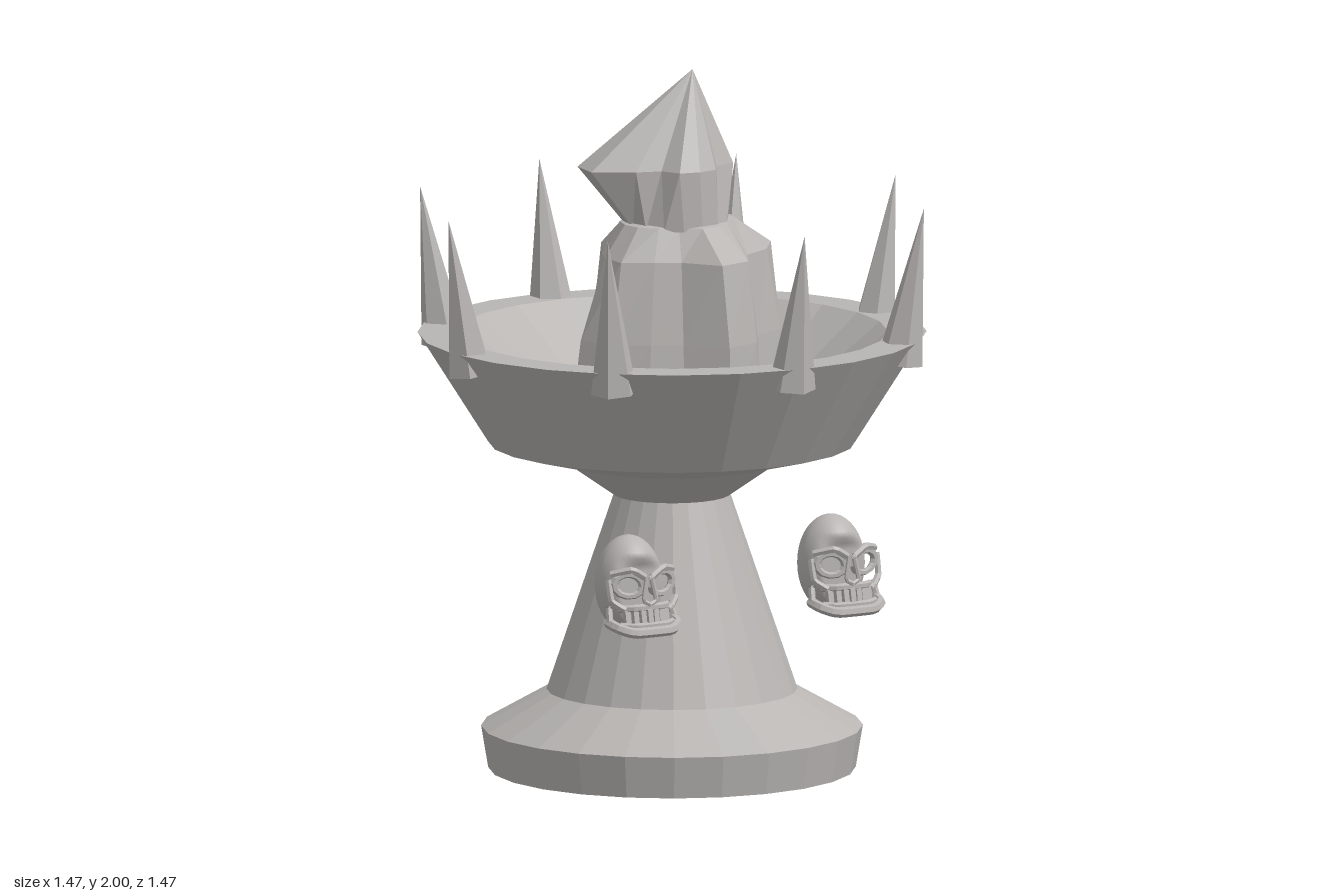
import * as THREE from 'three';

const stone = new THREE.MeshStandardMaterial({ color: 0xb8b5b3, side: THREE.DoubleSide });
stone.name = 'grey stone';

function part(name, geometry, parent, faceted = true) {
  const g = faceted && geometry.index ? geometry.toNonIndexed() : geometry;
  if (faceted) g.computeVertexNormals();
  const mesh = new THREE.Mesh(g, stone);
  mesh.name = name;
  parent.add(mesh);
  return mesh;
}

function lathe(name, profile, parent) {
  return part(name, new THREE.LatheGeometry(profile.map(p => new THREE.Vector2(...p)), 24), parent);
}

// Faceted skin through rings of 16 radii; each section is { y, x, z, r }
function loft(sections) {
  const n = 16, pos = [], index = [];
  sections.forEach(({ y, x = 0, z = 0, r }) => {
    for (let i = 0; i < n; i++) {
      const a = i / n * Math.PI * 2, rad = Array.isArray(r) ? r[i] : r;
      pos.push(x + rad * Math.cos(a), y, z + rad * Math.sin(a));
    }
  });
  for (let s = 0; s < sections.length - 1; s++) {
    for (let i = 0; i < n; i++) {
      const a = s * n + i, b = s * n + (i + 1) % n;
      index.push(b, a, a + n, b, a + n, b + n);
    }
  }
  const g = new THREE.BufferGeometry();
  g.setAttribute('position', new THREE.Float32BufferAttribute(pos, 3));
  g.setIndex(index);
  return g;
}

function bar(name, points, radius, parent) {
  const path = new THREE.CatmullRomCurve3(points.map(p => new THREE.Vector3(...p)), false, 'catmullrom', 0.2);
  return part(name, new THREE.TubeGeometry(path, points.length * 3, radius, 6), parent);
}

function createSkull() {
  const skull = new THREE.Group();

  // Egg-shaped cranium with its lower front pushed flat behind the face
  const cranium = new THREE.SphereGeometry(1, 28, 20).scale(0.095, 0.14, 0.1);
  const p = cranium.attributes.position;
  for (let i = 0; i < p.count; i++) {
    if (p.getY(i) < 0.07 && p.getZ(i) > 0.06) p.setZ(i, 0.06);
  }
  cranium.computeVertexNormals();
  part('cranium', cranium, skull, false);

  for (const s of [-1, 1]) {
    // Eye sockets, brows and cheekbones
    const socket = part('eyeSocket', new THREE.TorusGeometry(0.037, 0.011, 6, 12), skull);
    socket.scale.set(1.15, 0.85, 1);
    socket.position.set(s * 0.054, 0.012, 0.09);
    socket.rotation.set(0, s * 0.25, s * 0.15);
    bar('brow', [[s * 0.012, 0.035, 0.11], [s * 0.05, 0.058, 0.105], [s * 0.1, 0.045, 0.07]], 0.011, skull);
    bar('cheekbone', [[s * 0.108, 0.03, 0.07], [s * 0.105, -0.03, 0.085], [s * 0.075, -0.055, 0.11]], 0.01, skull);
    bar('noseSide', [[s * 0.008, 0.03, 0.115], [s * 0.02, -0.03, 0.12], [0, -0.042, 0.122]], 0.007, skull);
    bar('jawHinge', [[s * 0.1, -0.05, 0.06], [s * 0.105, -0.09, 0.075]], 0.01, skull);
  }

  // Jaws and teeth
  bar('upperJaw', [[-0.08, -0.055, 0.08], [-0.04, -0.052, 0.11], [0.04, -0.052, 0.11], [0.08, -0.055, 0.08]], 0.011, skull);
  for (let i = 0; i < 7; i++) {
    const x = (i - 3) * 0.021;
    const tooth = part('tooth', new THREE.BoxGeometry(0.016, 0.045, 0.016), skull);
    tooth.position.set(x, -0.078, 0.118 - 5 * x * x);
    tooth.rotation.x = -0.2;
  }
  bar('lowerJaw', [[-0.103, -0.095, 0.06], [-0.098, -0.105, 0.11], [-0.06, -0.118, 0.138],
    [0.06, -0.118, 0.138], [0.098, -0.105, 0.11], [0.103, -0.095, 0.06]], 0.015, skull);
  bar('lowerGum', [[-0.085, -0.1, 0.1], [-0.05, -0.102, 0.125], [0.05, -0.102, 0.125], [0.085, -0.1, 0.1]], 0.01, skull);
  return skull;
}

export function createModel() {
  const model = new THREE.Group();
  model.name = 'brazier';

  // Hollow foot, tapering stem and thick-rimmed bowl
  lathe('foot', [[0.52, 0], [0.54, 0.12], [0.355, 0.225]], model);
  lathe('stem', [[0.355, 0.225], [0.165, 0.785]], model);
  lathe('bowl', [[0.165, 0.785], [0.3, 0.88], [0.52, 0.935], [0.72, 1.25],
    [0.61, 1.25], [0.355, 1.04], [0, 1.04]], model);

  // Crown of outward-leaning spikes
  for (let i = 0; i < 8; i++) {
    const holder = new THREE.Group();
    holder.name = 'rimSpike' + (i + 1);
    holder.rotation.y = i * Math.PI / 4;
    const spike = part('spike', new THREE.ConeGeometry(0.067, 0.45, 6), holder);
    spike.position.set(0, 1.412, 0.7);
    spike.rotation.x = 0.157;
    model.add(holder);
  }

  // Lower flame: lobed body closing to a narrow neck
  part('flameBody', loft([
    { y: 1.04, r: [.33, .32, .27, .30, .33, .25, .27, .30, .33, .26, .20, .28, .32, .32, .26, .32] },
    { y: 1.25, r: [.33, .31, .25, .30, .32, .23, .24, .28, .30, .24, .21, .28, .31, .31, .25, .31] },
    { y: 1.48, r: [.325, .27, .22, .27, .28, .19, .20, .24, .22, .20, .20, .25, .295, .26, .22, .28] },
    { y: 1.57, r: [.19, .18, .16, .17, .17, .14, .15, .16, .155, .15, .14, .16, .17, .17, .16, .18] },
    { y: 1.58, x: 0.01, r: 0.13 },
  ]), model);

  // Upper flame: creased lobes meeting at the tip
  part('flameTip', loft([
    { y: 1.56, x: 0.01, z: 0.01, r: 0.145 },
    { y: 1.73, r: [.175, .175, .13, .155, .155, .155, .12, .17, .265, .27, .12, .25, .295, .25, .17, .19] },
    { y: 2, x: 0.055, z: 0.02, r: 0.001 },
  ]), model);

  // Pair of skulls beside the stem
  for (const [name, x] of [['leftSkull', 0.333], ['rightSkull', -0.333]]) {
    const skull = createSkull();
    skull.name = name;
    skull.position.set(x, 0.605, 0.32);
    model.add(skull);
  }
  return model;
}
